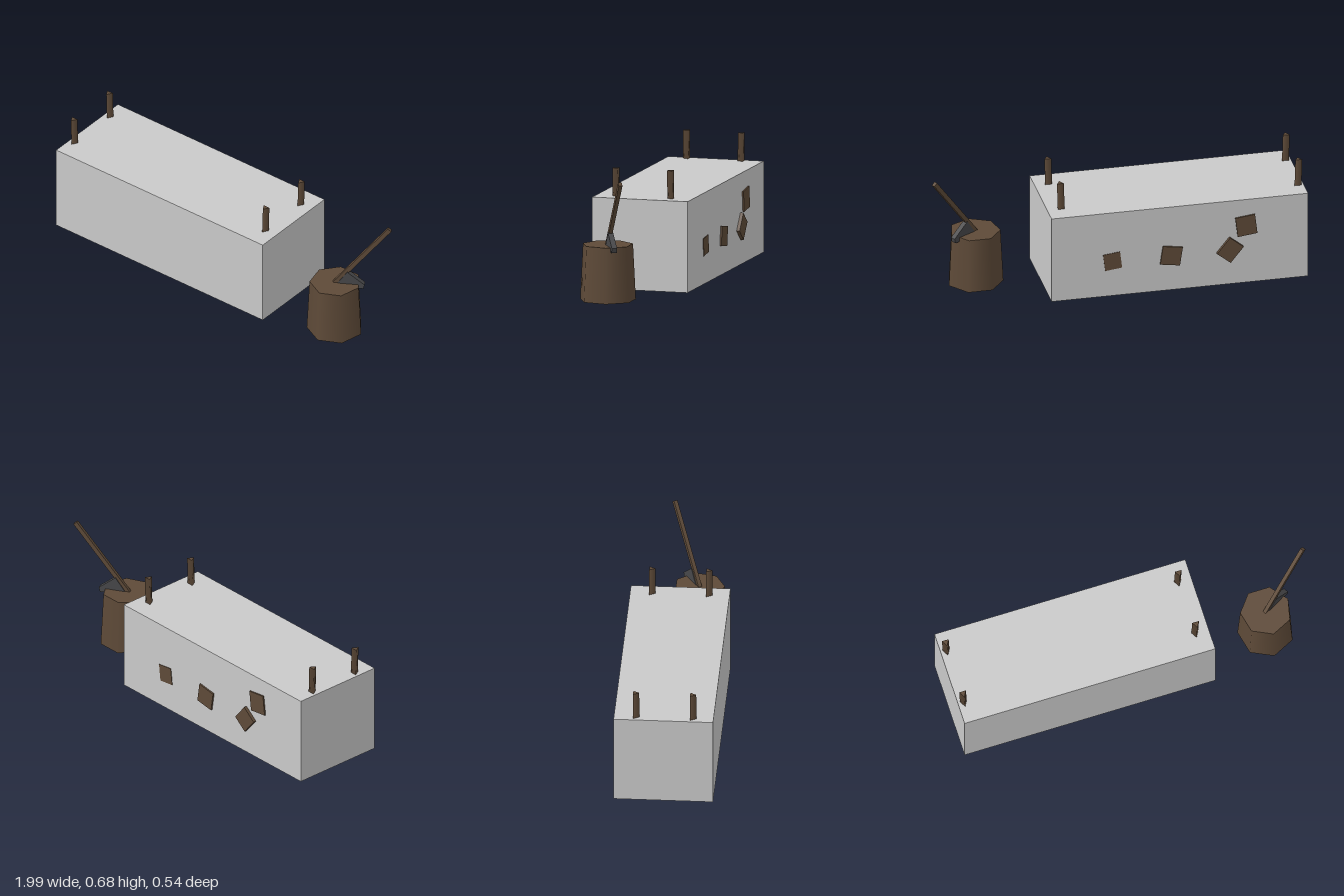
import * as THREE from 'three';

export function createModel() {
  const model = new THREE.Group();
  const stone = new THREE.MeshStandardMaterial({ color: 0xcacaca });
  stone.name = 'pale grey';
  const wood = new THREE.MeshStandardMaterial({ color: 0x5e4a38, side: THREE.DoubleSide });
  wood.name = 'brown wood';
  const steel = new THREE.MeshStandardMaterial({ color: 0x48484a });
  steel.name = 'dark steel';

  function add(name, geometry, material, x, y, z, parent = model) {
    const mesh = new THREE.Mesh(geometry, material);
    mesh.name = name;
    mesh.position.set(x, y, z);
    parent.add(mesh);
    return mesh;
  }

  // Large block
  add('block', new THREE.BoxGeometry(1.39, 0.488, 0.527), stone, -0.305, 0.256, 0.0085);

  // Three-sided corner pegs, leaning slightly outward
  for (const [x, lean] of [[-0.97, 0.03], [0.317, -0.03]]) {
    for (const z of [0.16, -0.142]) {
      const peg = add('cornerPeg', new THREE.CylinderGeometry(0.0215, 0.0215, 0.17, 3), wood, x, 0.566, z);
      peg.rotation.z = lean;
    }
  }

  // Tilted square plates on the back: x, y, width, height, turn, protrusion
  const plates = [
    [0.06, 0.215, 0.092, 0.095, -0.12, 0.003],
    [-0.258, 0.215, 0.108, 0.106, 0.15, 0.009],
    [-0.575, 0.217, 0.095, 0.112, 0.68, 0.017],
    [-0.664, 0.349, 0.107, 0.112, -0.12, 0.008],
  ];
  for (const [x, y, w, h, turn, out] of plates) {
    const plate = add('backPlate', new THREE.BoxGeometry(w, h, out + 0.01), wood, x, y, -0.25 - out / 2);
    plate.rotation.z = turn;
  }

  // Thin runners under the block: x, back z, front z, width, lowest y
  const runners = [
    [-0.055, -0.205, 0.252, 0.008, 0.008],
    [-0.165, 0.052, 0.244, 0.006, 0.009],
    [-0.362, -0.192, 0.254, 0.015, 0.002],
    [-0.517, -0.135, 0.23, 0.01, 0.007],
    [-0.848, 0.135, 0.248, 0.005, 0.01],
  ];
  for (const [x, z0, z1, w, y] of runners) {
    const runner = add('runner', new THREE.BoxGeometry(w, 0.014, z1 - z0), wood, x, y + 0.007, (z0 + z1) / 2);
    runner.rotation.x = 0.008;
  }

  // Seven-sided chopping stump, open underneath
  const stump = new THREE.Group();
  stump.name = 'stump';
  stump.position.set(0.73, 0, 0.084);
  model.add(stump);
  add('stumpSide', new THREE.CylinderGeometry(0.136, 0.151, 0.298, 7, 1, true), wood, 0, 0.161, 0, stump);
  const top = add('stumpTop', new THREE.CircleGeometry(0.136, 7, -Math.PI / 2), wood, 0, 0.31, 0, stump);
  top.rotation.x = -Math.PI / 2;

  // Axe stuck in the stump
  const axe = new THREE.Group();
  axe.name = 'axe';
  axe.position.set(0.73, 0, 0.084);
  axe.rotation.y = 0.526;
  model.add(axe);
  const start = new THREE.Vector2(-0.005, 0.3);
  const end = new THREE.Vector2(0.291, 0.677);
  const handle = add('axeHandle', new THREE.BoxGeometry(0.024, start.distanceTo(end), 0.02), wood,
    (start.x + end.x) / 2, (start.y + end.y) / 2, 0, axe);
  handle.rotation.z = -Math.atan2(end.x - start.x, end.y - start.y);

  const profile = new THREE.Shape([[0, 0.29], [0.152, 0.286], [0.158, 0.312], [0.066, 0.385]]
    .map(([x, y]) => new THREE.Vector2(x, y)));
  add('axeHead', new THREE.ExtrudeGeometry(profile, { depth: 0.028, bevelEnabled: false }), steel, 0, 0, -0.014, axe);

  return model;
}
